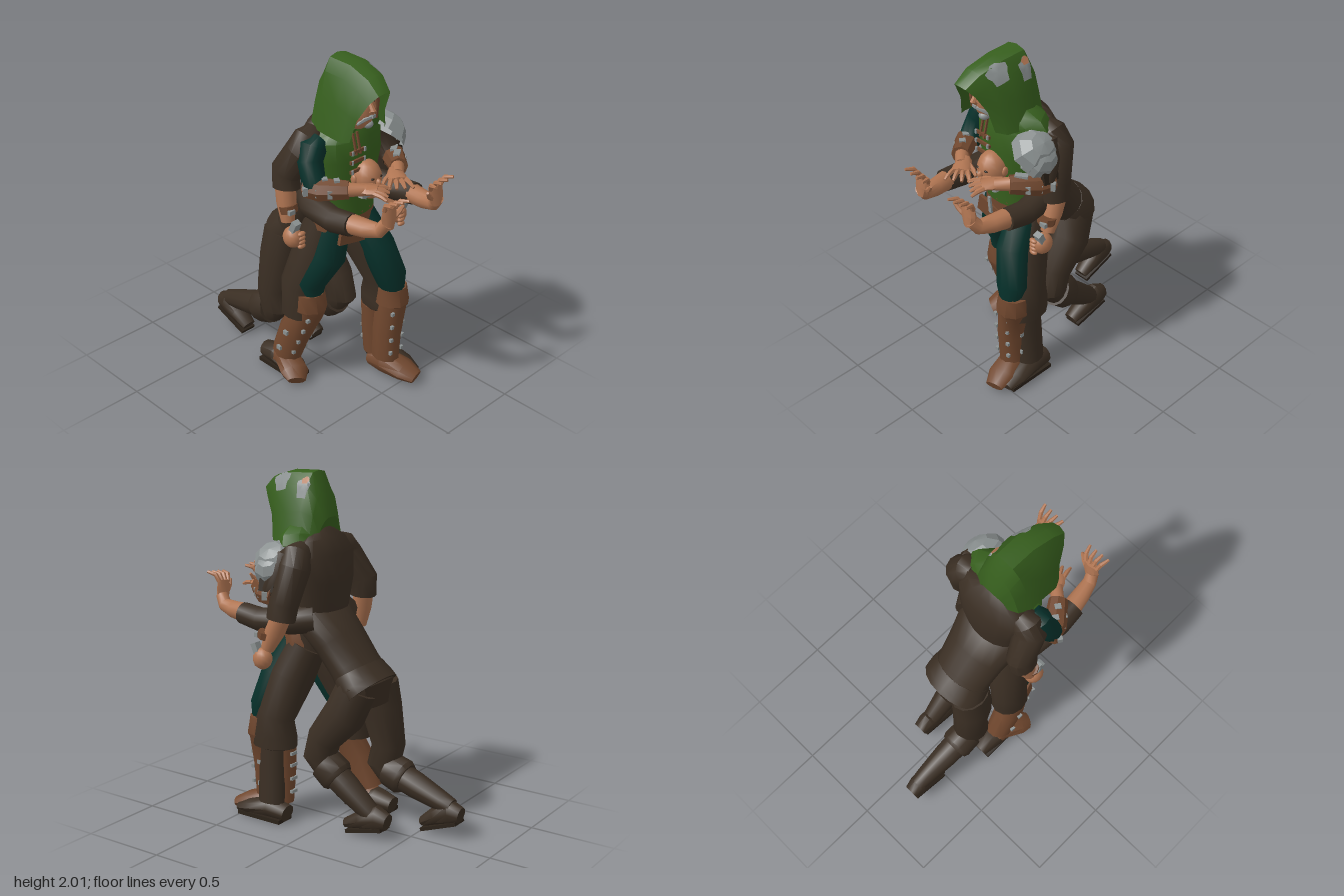
import * as THREE from 'three';
import { toCreasedNormals } from 'three/addons/utils/BufferGeometryUtils.js';

const mat = (name, color, side = THREE.FrontSide) => Object.assign(new THREE.MeshStandardMaterial({ color, side }), { name });
const V = (x, y, z) => new THREE.Vector3(x, y, z);

export function createModel() {
  const root = new THREE.Group();
  const green = mat('hood green', 0x365e1d, THREE.DoubleSide), dark = mat('dark brown cloth', 0x3a2e23);
  const leather = mat('leather', 0x70472e), skin = mat('skin', 0xb07552), teal = mat('teal cloth', 0x06302a);
  const metal = mat('metal', 0x8a9090, THREE.DoubleSide), sole = mat('sole', 0x2b2219);

  const add = (name, geo, m, parent = root) => {
    const mesh = new THREE.Mesh(geo, m);
    mesh.name = name;
    parent.add(mesh);
    return mesh;
  };
  // Closed skin over elliptical sections [x, y, z, rx, rOther] set square to their path
  const loft = (name, m, secs, parent = root, seg = 12) => {
    const c = secs.map(s => V(s[0], s[1], s[2])), n = c.length, pos = [], idx = [];
    const whole = c[n - 1].clone().sub(c[0]).normalize();
    const ref = Math.abs(whole.x) > 0.8 ? V(0, 0, 1) : V(1, 0, 0);
    secs.forEach((s, i) => {
      const t = c[Math.min(i + 1, n - 1)].clone().sub(c[Math.max(i - 1, 0)]).normalize();
      const u = ref.clone().addScaledVector(t, -ref.dot(t)).normalize(), v = t.clone().cross(u);
      for (let j = 0; j < seg; j++) {
        const a = j / seg * Math.PI * 2;
        const p = c[i].clone().addScaledVector(u, s[3] * Math.cos(a)).addScaledVector(v, (s[4] ?? s[3]) * Math.sin(a));
        pos.push(p.x, p.y, p.z);
      }
    });
    pos.push(...c[0].toArray(), ...c[n - 1].toArray());
    for (let j = 0; j < seg; j++) {
      const k = (j + 1) % seg, e = (n - 1) * seg;
      for (let i = 0; i < n - 1; i++) {
        const a = i * seg + j, b = i * seg + k;
        idx.push(a, b, a + seg, b, b + seg, a + seg);
      }
      idx.push(n * seg, k, j, n * seg + 1, e + j, e + k);
    }
    const g = new THREE.BufferGeometry();
    g.setAttribute('position', new THREE.Float32BufferAttribute(pos, 3));
    g.setIndex(idx);
    return add(name, toCreasedNormals(g, 0.75), m, parent);
  };
  const ball = (name, m, p, s) => {
    const b = add(name, new THREE.SphereGeometry(1, 14, 10), m);
    b.position.set(...p);
    b.scale.set(...s);
  };
  const box = (name, m, p, s, r = [0, 0, 0]) => {
    const b = add(name, new THREE.BoxGeometry(...s), m);
    b.position.set(...p);
    b.rotation.set(...r);
  };
  // Open hand pointing along local +y, fingers bending to +z
  const hand = (name, p, r, side, curl) => {
    const h = new THREE.Group();
    h.name = name;
    h.position.set(...p);
    h.rotation.set(...r);
    root.add(h);
    loft('palm', skin, [[0, -0.03, 0, 0.035, 0.03], [0, 0.03, 0, 0.052, 0.026], [0, 0.085, 0, 0.05, 0.018]], h, 8);
    for (let i = 0; i < 4; i++) {
      const x = -0.039 + i * 0.026;
      loft('finger', skin, [[x, 0.075, 0, 0.014], [x * 1.4, 0.115, curl * 0.02, 0.013], [x * 1.75, 0.155 - curl * 0.03, curl * 0.07, 0.008]], h, 6);
    }
    loft('thumb', skin, [[-side * 0.035, 0.02, 0, 0.016], [-side * 0.065, 0.05, 0.01, 0.014], [-side * 0.085, 0.085, 0.02, 0.008]], h, 6);
  };

  // Standing figure: brown back and green vest
  loft('shirtBack', dark, [[0, 1.0, 0.13, 0.18, 0.12], [0, 1.18, 0.11, 0.18, 0.12], [0, 1.4, 0.1, 0.22, 0.14],
    [0, 1.54, 0.11, 0.25, 0.13], [0, 1.62, 0.12, 0.2, 0.1], [0, 1.66, 0.14, 0.1, 0.08]], root, 18);
  loft('vest', green, [[0, 1.1, 0.2, 0.17, 0.12], [0, 1.25, 0.19, 0.18, 0.13], [0, 1.45, 0.19, 0.22, 0.15],
    [0, 1.57, 0.19, 0.22, 0.14], [-0.01, 1.64, 0.19, 0.15, 0.12], [-0.02, 1.68, 0.2, 0.1, 0.1]], root, 18);
  loft('shoulderCape', green, [[0.01, 1.56, 0.18, 0.25, 0.13], [0, 1.61, 0.19, 0.23, 0.13], [-0.02, 1.67, 0.21, 0.15, 0.11]], root, 10);
  loft('belt', leather, [[0, 0.99, 0.17, 0.195, 0.14], [0, 1.05, 0.17, 0.2, 0.14], [0, 1.14, 0.18, 0.18, 0.14]], root, 16);
  box('beltFlap', leather, [-0.06, 1.0, 0.305], [0.2, 0.1, 0.02], [0, 0, -0.2]);
  box('beltChain', metal, [-0.05, 1.06, 0.325], [0.02, 0.1, 0.012], [0, 0, 0.1]);
  for (let i = 0; i < 3; i++) {
    const y = 1.41 + i * 0.055;
    box('chestStrap', leather, [-0.07, y, 0.345], [0.11, 0.018, 0.012]);
    for (const x of [-0.115, -0.025]) box('chestBuckle', metal, [x, y, 0.352], [0.012, 0.024, 0.01]);
  }
  for (const x of [-0.085, -0.055]) box('vestSeam', leather, [x, 1.56, 0.335], [0.01, 0.12, 0.012], [-0.25, 0, 0]);

  // Hood: arches [zTop, yTop, zBottom, yBottom, halfWidth, centreX] from face opening to nape
  const arches = [[0.51, 1.89, 0.39, 1.62, 0.13, -0.05], [0.43, 1.955, 0.35, 1.61, 0.165, -0.035], [0.29, 1.995, 0.27, 1.61, 0.175, -0.02],
    [0.14, 2.0, 0.17, 1.62, 0.175, -0.02], [0.09, 1.9, 0.1, 1.645, 0.15, -0.02], [0.05, 1.75, 0.07, 1.66, 0.1, -0.02], [0.08, 1.67, 0.08, 1.66, 0.05, -0.02]];
  const arc = [[1, 0], [0.8, 0.44], [0.57, 0.8], [0.32, 0.97], [0, 1]];
  const mix = (rows, s) => {
    const i = Math.min(Math.floor(s), rows.length - 2);
    return rows[i].map((v, k) => v + (rows[i + 1][k] - v) * (s - i));
  };
  const hoodPoint = (s, t, grow = 1) => {
    const [zt, yt, zb, yb, w, cx] = mix(arches, s);
    const [side, up] = mix(arc, 4 - Math.abs(8 * t - 4));
    const mid = V(-0.03, 1.78, 0.25);
    return V(cx + w * side * Math.sign(0.5 - t), yb + (yt - yb) * up, zb + (zt - zb) * up ** 2).sub(mid).multiplyScalar(grow).add(mid);
  };
  const surface = (name, m, nu, nv, fn) => {
    const g = new THREE.PlaneGeometry(1, 1, nu, nv), p = g.attributes.position;
    for (let k = 0; k < p.count; k++) {
      const q = fn(k % (nu + 1) / nu, Math.floor(k / (nu + 1)) / nv);
      p.setXYZ(k, q.x, q.y, q.z);
    }
    return add(name, toCreasedNormals(g, 0.6), m);
  };
  surface('hood', green, 8, 6, (u, v) => hoodPoint(v * 6, u));
  const patch = (m, s, t, r, grow = 1.025) => surface('hoodPatch', m, 14, 2, (u, v) => {
    const a = u * Math.PI * 2, k = v * r * (1 + 0.15 * Math.sin(a * 5));
    return hoodPoint(s + k * 5 * Math.cos(a), t + k * Math.sin(a), grow);
  });
  patch(metal, 1.6, 0.31, 0.09);
  patch(metal, 2.85, 0.25, 0.07);
  patch(skin, 2.85, 0.29, 0.035, 1.035);
  ball('capePatch', metal, [0.18, 1.62, 0.24], [0.035, 0.015, 0.03]);
  ball('capePatch', metal, [-0.22, 1.59, 0.1], [0.03, 0.015, 0.04]);

  // Hooded face with a grey moustache
  ball('face', skin, [-0.04, 1.76, 0.31], [0.085, 0.13, 0.1]);
  loft('nose', skin, [[-0.045, 1.81, 0.395, 0.01], [-0.045, 1.765, 0.425, 0.016], [-0.045, 1.745, 0.4, 0.012]], root, 6);
  for (const s of [-1, 1]) {
    ball('eye', sole, [-0.043 + s * 0.032, 1.8, 0.391], [0.011, 0.005, 0.008]);
    loft('hairLock', leather, [[-0.04 + s * 0.06, 1.86, 0.35, 0.014], [-0.04 + s * 0.088, 1.78, 0.36, 0.018], [-0.04 + s * 0.085, 1.68, 0.36, 0.01]], root, 6);
    loft('moustache', metal, [[-0.04, 1.725, 0.405, 0.012], [-0.04 + s * 0.035, 1.715, 0.39, 0.014], [-0.04 + s * 0.06, 1.685, 0.365, 0.006]], root, 6);
  }
  ball('chinBeard', metal, [-0.025, 1.67, 0.365], [0.03, 0.025, 0.035]);
  loft('neck', skin, [[-0.02, 1.6, 0.2, 0.07], [-0.03, 1.72, 0.27, 0.06]]);
  ball('nape', skin, [-0.02, 1.66, 0.11], [0.085, 0.035, 0.055]);

  // Standing legs: dark trousers and shoes, teal trouser fronts and tall boots
  const legs = [
    { s: 1, knee: [0.2, 0.56, 0.3], ankle: [0.235, 0.1, 0.3], shin: [[0.2, 0.42, 0.3, 0.08, 0.09], [0.235, 0.1, 0.3, 0.065, 0.085]],
      cuff: 0.14, front: 0.08, fx: 0.165, ez: 0.37, splay: 0.05, deep: 0.09 },
    { s: -1, knee: [-0.2, 0.56, 0.04], ankle: [-0.22, 0.1, -0.13], shin: [],
      cuff: 0.12, front: 0.06, fx: -0.225, ez: -0.06, splay: 0.08, deep: 0.1 }];
  for (const { s, knee: [kx, ky, kz], ankle: [ax, ay, az], shin, cuff, front, fx, ez, splay, deep } of legs) {
    const bz = kz + front, bootZ = y => ez + (bz - ez) * (y - 0.14) / 0.36;
    loft('trouserLeg', dark, [[s * 0.1, 1.04, 0.14, 0.1, 0.12], [s * 0.13, 0.85, (0.15 + kz) / 2, 0.12, 0.135], [kx, ky + 0.06, kz - 0.01, 0.1, 0.115],
      [kx, ky - 0.05, kz, 0.105, cuff], [kx, ky - 0.12, kz, 0.105, cuff], ...shin]);
    loft('tealTrouserFront', teal, [[s * 0.1, 1.03, 0.2, 0.085, 0.1], [s * 0.13, 0.85, (0.24 + kz) / 2 + 0.05, 0.1, 0.1],
      [kx * 0.9, 0.66, bz, 0.095, 0.085], [kx * 0.93, 0.56, bz + 0.01, 0.06, 0.07]]);
    loft('boot', leather, [[kx * 0.95, 0.6, bz, 0.088, 0.085], [kx * 0.95, 0.5, bz, 0.1, 0.105], [kx * 0.95, 0.49, bz, 0.088, 0.095],
      [fx, 0.3, bootZ(0.3), 0.082, deep], [fx, 0.12, ez, 0.075, deep - 0.005]], root, 10);
    loft('bootFoot', leather, [[fx, 0.06, ez - 0.1, 0.06, 0.05], [fx, 0.08, ez, 0.075, 0.075],
      [fx + s * splay * 0.6, 0.06, ez + 0.12, 0.085, 0.05], [fx + s * splay, 0.035, ez + 0.25 - splay, 0.055, 0.03]], root, 10);
    loft('shoe', dark, [[ax, 0.05, az - 0.11, 0.055, 0.05], [ax, 0.07, az, 0.075, 0.065],
      [ax + s * 0.01, 0.05, az + 0.14, 0.075, 0.045], [ax + s * 0.02, 0.03, az + 0.22, 0.045, 0.025]], root, 10);
    box('shoeSole', sole, [ax + s * 0.01, 0.012, az + 0.05], [0.12, 0.024, 0.3]);
    for (let i = 0; i < 4; i++) for (const d of [-0.045, 0.045]) {
      const y = 0.46 - i * 0.09;
      box('bootStud', metal, [fx + d, y, bootZ(y) + deep - 0.012], [0.02, 0.02, 0.016]);
    }
    for (const y of [0.2, 0.33]) box('bootSideBuckle', metal, [fx + s * 0.082, y, bootZ(y)], [0.016, 0.025, 0.03]);
  }
  // Laced calf panel behind the forward boot
  loft('calfPanel', leather, [[0.17, 0.44, 0.27, 0.075, 0.085], [0.175, 0.28, 0.265, 0.072, 0.08], [0.18, 0.1, 0.27, 0.06, 0.075]]);
  for (const y of [0.17, 0.25, 0.33, 0.4]) box('calfBuckle', metal, [0.175, y, 0.187], [0.05, 0.018, 0.016]);

  // Hanging arms ending in fists
  const arms = [
    { s: 1, elbow: [0.3, 1.24, 0.16], wrist: [0.32, 1.04, 0.25], fist: [0.32, 0.98, 0.285] },
    { s: -1, elbow: [-0.29, 1.3, 0.02], wrist: [-0.31, 1.08, 0.06], fist: [-0.315, 1.0, 0.1] }];
  for (const { s, elbow: e, wrist: w, fist: f } of arms) {
    loft('shortSleeve', dark, [[s * 0.16, 1.585, 0.12, 0.06], [s * 0.21, 1.56, 0.12, 0.085], [s * 0.25, 1.5, 0.11, 0.09], [e[0] - s * 0.01, e[1] + 0.06, e[2], 0.075, 0.09], [e[0], e[1] - 0.03, e[2] + 0.01, 0.07, 0.085]]);
    loft('hangingForearm', skin, [[...e, 0.058], [(e[0] + w[0]) / 2, (e[1] + w[1]) / 2, (e[2] + w[2]) / 2, 0.056], [...w, 0.038]]);
    ball('fist', skin, f, [0.05, 0.062, 0.058]);
    for (let i = 0; i < 4; i++) ball('knuckle', skin, [f[0] - s * 0.02, f[1] + 0.03 - i * 0.025, f[2] + 0.05], [0.026, 0.014, 0.016]);
    box('wristPlate', metal, [w[0] + s * 0.01, w[1] - 0.02, w[2] + 0.06], [0.045, 0.1, 0.035], [0.4, 0, 0]);
    loft('wristBand', leather, [[w[0], w[1] + 0.1, w[2], 0.054, 0.05], [w[0], w[1] + 0.06, w[2] + 0.01, 0.05, 0.05]], root, 8);
    box('wristBuckle', metal, [w[0] + s * 0.02, w[1] + 0.08, w[2] + 0.05], [0.04, 0.025, 0.02]);
  }

  // Raised arms in bracers, hands held before the chest
  for (const s of [-1, 1]) {
    loft('upperSleeve', s < 0 ? teal : dark, [[s * 0.19, 1.57, 0.18, 0.05], [s * 0.235, 1.54, 0.18, 0.075], [s * 0.265, 1.47, 0.19, 0.07], [s * 0.285, 1.36, 0.24, 0.065], [s * 0.27, 1.33, 0.28, 0.055]]);
    loft('bracer', leather, [[s * 0.3, 1.34, 0.2, 0.06], [s * 0.28, 1.345, 0.28, 0.066], [s * 0.19, 1.355, 0.4, 0.052]], root, 8);
    loft('raisedWrist', skin, [[s * 0.2, 1.355, 0.38, 0.04], [s * 0.13, 1.35, 0.45, 0.032]]);
    hand('raisedHand', [s * 0.13, 1.35, 0.43], [Math.PI / 2, 0, s * 0.6], s, 0.3);
    for (let i = 0; i < 3; i++) {
      box('bracerBuckle', metal, [s * (0.352 - i * 0.035), 1.345, 0.24 + i * 0.055], [0.025, 0.045, 0.03], [0, s * 0.6, 0]);
      box('bracerTopPlate', metal, [s * (0.3 - i * 0.035), 1.405, 0.24 + i * 0.055], [s > 0 ? 0.07 : 0.03, 0.016, 0.035], [0, s * 0.6, 0]);
    }
    box('bracerFrontPlate', metal, [s * 0.11, 1.32, 0.43], [0.035, 0.06, 0.03], [0, 0, s * 0.4]);
  }

  // Faceted shoulder guard on the left arm only
  const guard = toCreasedNormals(new THREE.SphereGeometry(1, 8, 3, 0, Math.PI * 2, 0, Math.PI / 2), 0.3);
  for (let i = 0; i < 2; i++) {
    const plate = add('shoulderPlate', guard, metal);
    plate.position.set(0.22 + i * 0.025, 1.515 - i * 0.045, 0.25);
    plate.rotation.z = -0.75;
    plate.scale.set(0.125 - i * 0.02, 0.11, 0.14 - i * 0.02);
  }
  box('shoulderStrap', sole, [0.325, 1.4, 0.24], [0.025, 0.07, 0.1], [0, 0, 0.2]);

  // Lunging figure: leaning torso, hem, bald head
  loft('leaningTorso', dark, [[0, 0.72, -0.22, 0.15, 0.09], [0, 0.82, -0.2, 0.19, 0.14], [0, 0.93, -0.12, 0.175, 0.125],
    [0, 1.06, -0.02, 0.19, 0.12], [0, 1.18, 0.09, 0.22, 0.12], [0, 1.25, 0.2, 0.14, 0.09]], root, 18);
  loft('jacketHem', dark, [[0, 0.8, -0.22, 0.2, 0.155], [0, 0.84, -0.185, 0.2, 0.15], [0, 0.91, -0.14, 0.18, 0.125]], root, 16);
  loft('leaningNeck', skin, [[0, 1.22, 0.17, 0.06], [0, 1.33, 0.29, 0.055]]);
  ball('baldHead', skin, [0, 1.345, 0.34], [0.083, 0.1, 0.09]);
  ball('jaw', skin, [0, 1.28, 0.38], [0.055, 0.05, 0.045]);
  ball('baldHeadNose', skin, [0, 1.34, 0.43], [0.015, 0.022, 0.02]);
  for (const s of [-1, 1]) {
    ball('ear', skin, [s * 0.083, 1.35, 0.33], [0.012, 0.028, 0.02]);
    ball('baldHeadEye', sole, [s * 0.03, 1.365, 0.418], [0.012, 0.006, 0.008]);
    ball('whiskers', metal, [s * 0.05, 1.29, 0.395], [0.025, 0.03, 0.03]);
    // Pushing arms
    loft('pushingSleeve', dark, [[s * 0.15, 1.2, 0.06, 0.08], [s * 0.23, 1.19, 0.17, 0.075], [s * 0.25, 1.18, 0.35, 0.068], [s * 0.245, 1.2, 0.48, 0.062]]);
    loft('pushingForearm', skin, [[s * 0.24, 1.2, 0.46, 0.056], [s * 0.225, 1.205, 0.56, 0.05], [s * 0.21, 1.22, 0.64, 0.04], [s * 0.195, 1.27, 0.675, 0.035]]);
    hand('pushingHand', [s * 0.185, 1.27, 0.675], [0, 0, s * 0.12], s, 0.95);
  }

  // Kneeling and trailing legs
  const lunges = [
    { x: 0.12, kx: 0.13, knee: [0.4, 0.03], ankle: [0.15, -0.29], toe: [0.035, -0.15], heel: [0.1, -0.42] },
    { x: -0.135, kx: -0.15, knee: [0.33, -0.22], ankle: [0.2, -0.62], toe: [0.04, -0.5], heel: [0.13, -0.74] }];
  for (const { x, kx, knee: [ky, kz], ankle: [ay, az], toe: [ty, tz], heel: [hy, hz] } of lunges) {
    loft('lungeThigh', dark, [[x * 0.8, 0.84, -0.2, 0.1, 0.12], [x, 0.68, -0.2 + (kz + 0.2) * 0.3, 0.105, 0.125], [kx, ky + 0.12, kz - 0.03, 0.09, 0.1], [kx, ky, kz, 0.09, 0.1], [kx, ky - 0.06, kz - 0.04, 0.07, 0.07]]);
    const at = f => [kx + (x - kx) * f, ky - 0.02 + (ay - ky) * f, kz - 0.02 + (az - kz) * f];
    loft('lungeCuff', dark, [[...at(0.05), 0.095, 0.1], [...at(0.28), 0.1, 0.105], [...at(0.34), 0.09, 0.09]]);
    loft('lungeCalf', dark, [[...at(0.1), 0.08], [...at(0.5), 0.076], [...at(0.95), 0.058], [...at(1.1), 0.05]]);
    loft('lungeShoe', dark, [[x, hy, hz, 0.045, 0.05], [x, hy + 0.01, hz + 0.06, 0.06, 0.078],
      [x, (hy + ty) / 2 + 0.015, (hz + tz) / 2 + 0.03, 0.062, 0.055], [x, ty + 0.005, tz, 0.045, 0.03]], root, 10);
    box('lungeSole', sole, [x, (hy + ty) / 2 - 0.035, (hz + tz) / 2], [0.1, 0.02, 0.24], [Math.atan2(hy - ty, tz - hz), 0, 0]);
  }
  return root;
}
